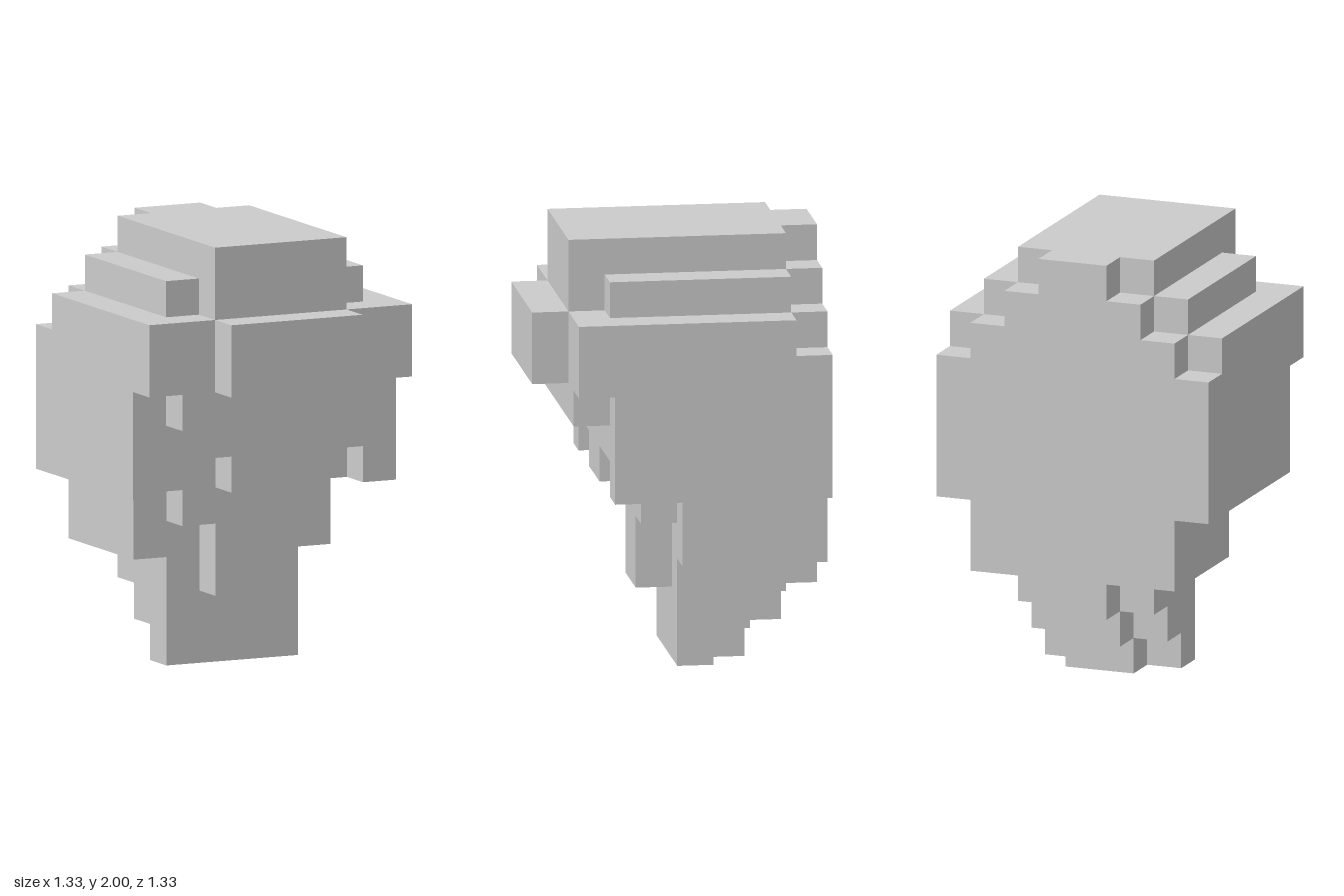
import * as THREE from 'three';

const U = 1 / 6; // one block

// Rectangular hole from its corner and size, in blocks
function rectHole(x, y, w, h) {
  const path = new THREE.Path();
  path.moveTo(x * U, y * U);
  path.lineTo(x * U, (y + h) * U);
  path.lineTo((x + w) * U, (y + h) * U);
  path.lineTo((x + w) * U, y * U);
  path.closePath();
  return path;
}

// Slab from z0 to z1; the half outline runs top to bottom and is mirrored in x
function slab(name, z0, z1, half, material, holes = []) {
  const mirrored = half.map(([x, y]) => [-x, y]).reverse();
  const points = [...half, ...mirrored].map(([x, y]) => new THREE.Vector2(x * U, y * U));
  const shape = new THREE.Shape(points);
  shape.holes = holes.map((h) => rectHole(...h));
  const geometry = new THREE.ExtrudeGeometry(shape, { depth: (z1 - z0) * U, bevelEnabled: false });
  geometry.translate(0, 0, z0 * U);
  const mesh = new THREE.Mesh(geometry, material);
  mesh.name = name;
  return mesh;
}

export function createModel() {
  const group = new THREE.Group();
  group.name = 'blockHead';
  const material = new THREE.MeshStandardMaterial({ color: 0xcccccc, flatShading: true });

  // Stepped crown shared by the middle slabs
  const crown = [[2, 12], [2, 11], [3, 11], [3, 10], [4, 10], [4, 5]];
  // Pockets in the back plate: one wide centre pocket and three mirrored pairs
  const pockets = [[-1, 6, 2, 1]];
  for (const [x, y] of [[1, 8], [2, 6], [1, 4]]) pockets.push([x, y, 1, 1], [-x - 1, y, 1, 1]);

  const backPlate = [[1, 12], [1, 11], [2, 11], [2, 10], [3, 10], [3, 9], [4, 9], [4, 5],
    [3, 5], [3, 3], [1, 3], [1, 2]];
  const rearBody = [...crown, [3, 5], [3, 3], [2, 3], [2, 2], [1, 2], [1, 1]];
  const middleBody = [...crown, [3, 5], [3, 3], [2, 3], [2, 1], [1, 1], [1, 0]];
  const neckBody = [...crown, [3, 5], [3, 3], [2, 3], [2, 0]];
  const chinBody = [...crown, [2, 5], [2, 4], [1, 4], [1, 2]];
  const face = [...crown, [3, 5], [3, 6], [1, 6], [1, 5]];
  const brow = [[2, 12], [2, 10], [4, 10], [4, 8], [3, 8], [3, 7]];
  const visor = [[2, 10], [2, 8]];

  group.add(
    slab('backPlate', -4, -3, backPlate, material, pockets),
    slab('rearBody', -3, -2, rearBody, material),
    slab('middleBody', -2, -1, middleBody, material),
    slab('neckBody', -1, 0, neckBody, material),
    slab('chinBody', 0, 1, chinBody, material),
    slab('face', 1, 2, face, material),
    slab('brow', 2, 3, brow, material),
    slab('visor', 3, 4, visor, material),
  );
  return group;
}
